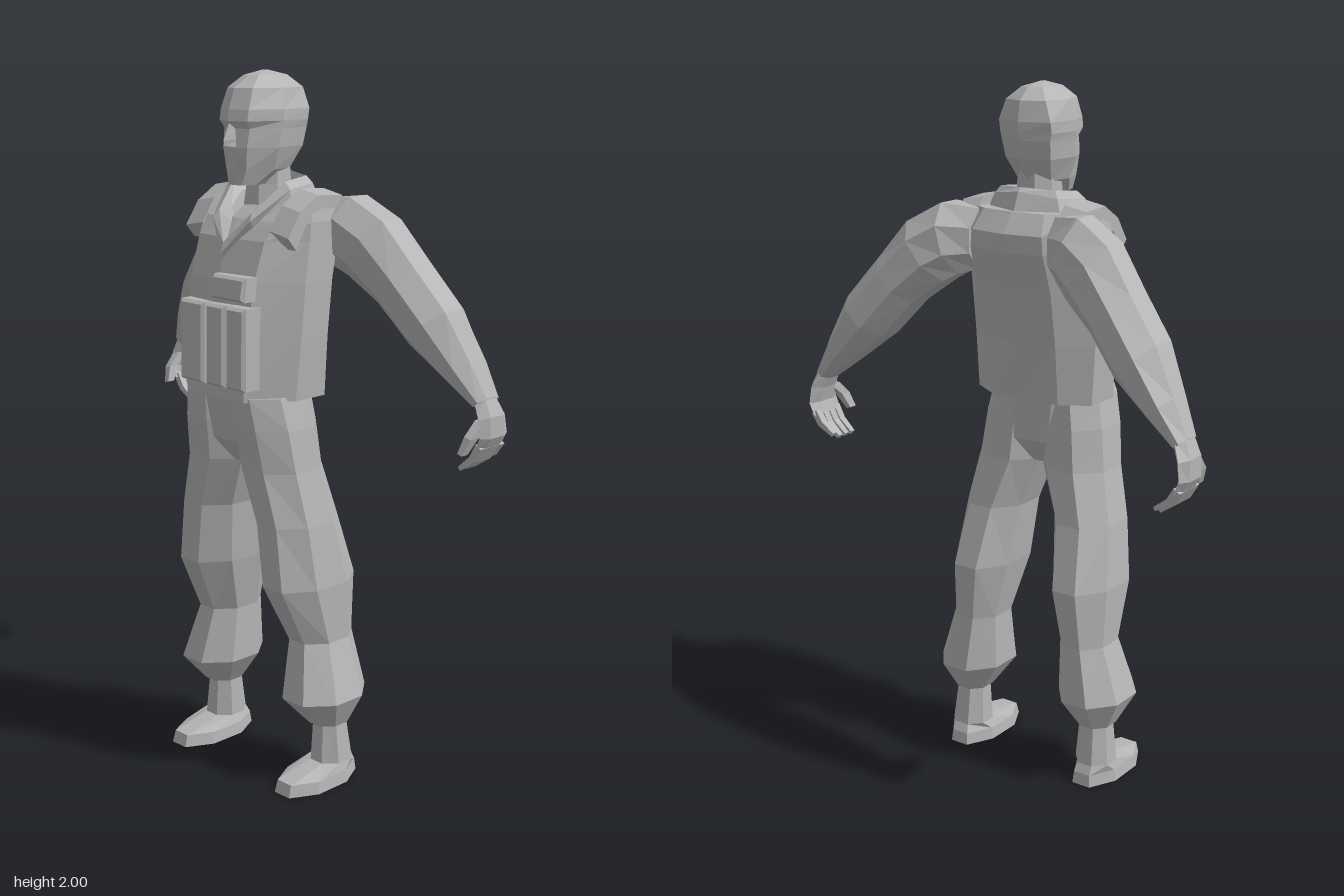
import * as THREE from 'three';

const grey = new THREE.MeshStandardMaterial({ color: 0xb4b4b4 });
grey.name = 'grey';
const V = (x, y, z) => new THREE.Vector3(x, y, z);

// Skin a closed, flat-shaded solid over equal-sized rings; faces always end up pointing outwards
function loft(name, rings) {
  const n = rings[0].length, tris = [];
  for (let r = 0; r < rings.length - 1; r++) {
    for (let i = 0; i < n; i++) {
      const j = (i + 1) % n, a = rings[r], b = rings[r + 1];
      tris.push([a[i], a[j], b[j]], [a[i], b[j], b[i]]);
    }
  }
  const cap = (ring, flip) => {
    const c = V(0, 0, 0);
    ring.forEach(p => c.addScaledVector(p, 1 / n));
    ring.forEach((p, i) => {
      const q = ring[(i + 1) % n];
      tris.push(flip ? [c, q, p] : [c, p, q]);
    });
  };
  cap(rings[0], true);
  cap(rings[rings.length - 1], false);
  let volume = 0;
  const o = rings[0][0], u = V(0, 0, 0), v = V(0, 0, 0), w = V(0, 0, 0);
  for (const [a, b, c] of tris) {
    volume += u.subVectors(a, o).dot(v.subVectors(b, o).cross(w.subVectors(c, o)));
  }
  const points = tris.flatMap(([a, b, c]) => (volume < 0 ? [a, c, b] : [a, b, c]));
  const geometry = new THREE.BufferGeometry().setFromPoints(points);
  geometry.computeVertexNormals();
  const mesh = new THREE.Mesh(geometry, grey);
  mesh.name = name;
  return mesh;
}

// Horizontal ring from a half outline [x, z, yOffset], front centre to back centre
function mirrored(y, half) {
  const right = half.map(([x, z, dy = 0]) => V(x, y + dy, z));
  const left = half.slice(1, -1).reverse().map(([x, z, dy = 0]) => V(-x, y + dy, z));
  return [...right, ...left];
}

// Horizontal octagon filling the box x0..x1, z0..z1
function octagon(y, x0, x1, z0, z1, side = 1) {
  const k = 0.5 / Math.cos(Math.PI / 8);
  return Array.from({ length: 8 }, (_, i) => {
    const t = (i + 0.5) * Math.PI / 4;
    return V(side * ((x0 + x1) / 2 + (x1 - x0) * k * Math.cos(t)), y, (z0 + z1) / 2 + (z1 - z0) * k * Math.sin(t));
  });
}

// Tapered limb along [x, y, z, radius across, radius in z]
function limb(name, path, sides, side) {
  const rings = path.map(([x, y, z, rn, rz], i) => {
    const a = path[Math.max(i - 1, 0)], b = path[Math.min(i + 1, path.length - 1)];
    const dx = b[0] - a[0], dy = b[1] - a[1], len = Math.hypot(dx, dy);
    return Array.from({ length: sides }, (_, s) => {
      const t = (s + 0.5) * 2 * Math.PI / sides, k = 1 / Math.cos(Math.PI / sides);
      const c = Math.cos(t) * rn * k;
      return V(side * (x - dy / len * c), y + dx / len * c, z + Math.sin(t) * rz * k);
    });
  });
  return loft(name, rings);
}

function createHead() {
  const head = new THREE.Group();
  head.name = 'head';
  head.add(loft('skull', [
    mirrored(1.7, [[0, .155], [.025, .15], [.04, .11], [.035, .07], [0, .05]]),
    mirrored(1.74, [[0, .163], [.04, .145], [.068, .07], [.055, 0], [0, -.03]]),
    mirrored(1.8, [[0, .165], [.047, .15], [.088, .07], [.075, -.03], [0, -.06]]),
    mirrored(1.85, [[0, .16], [.05, .142], [.092, .065], [.08, -.04], [0, -.07]]),
    mirrored(1.87, [[0, .175], [.055, .155], [.095, .06], [.085, -.04], [0, -.073]]),
    mirrored(1.9, [[0, .17], [.055, .15], [.094, .06], [.085, -.045], [0, -.075]]),
    mirrored(1.955, [[0, .152], [.05, .13], [.08, .05], [.065, -.04], [0, -.066]]),
    mirrored(1.987, [[0, .1], [.03, .09], [.045, .045], [.035, -.01], [0, -.03]]),
    mirrored(2, [[0, .05], [.004, .045], [.006, .04], [.004, .035], [0, .03]]),
  ]));
  head.add(loft('nose', [
    [V(-.02, 1.8, .15), V(0, 1.805, .188), V(.02, 1.8, .15)],
    [V(-.017, 1.82, .15), V(0, 1.82, .19), V(.017, 1.82, .15)],
    [V(-.01, 1.865, .15), V(0, 1.865, .17), V(.01, 1.865, .15)],
  ]));
  head.add(loft('neck', [
    octagon(1.58, -.08, .08, -.06, .1), octagon(1.7, -.06, .06, -.035, .085), octagon(1.78, -.055, .055, -.03, .08),
  ]));
  return head;
}

function createTorso() {
  const torso = new THREE.Group();
  torso.name = 'torso';
  // Vest body, narrowing over the chest and shoulders
  torso.add(loft('vest', [
    mirrored(1.13, [[0, .235], [.115, .23], [.195, .11], [.195, 0], [.115, -.05], [0, -.06]]),
    mirrored(1.3, [[0, .23], [.12, .22], [.205, .1], [.205, 0], [.12, -.07], [0, -.085]]),
    mirrored(1.45, [[0, .215], [.125, .2], [.21, .09], [.21, -.01], [.125, -.1], [0, -.115]]),
    mirrored(1.56, [[0, .18], [.13, .165], [.21, .075], [.21, -.03], [.12, -.13], [0, -.145]]),
    mirrored(1.61, [[0, .14], [.145, .13], [.21, .07], [.21, -.04], [.115, -.13], [0, -.145]]),
    mirrored(1.665, [[0, .06], [.14, .07], [.2, .05], [.2, -.04], [.1, -.095], [0, -.105]]),
  ]));
  // Folded neck scarf: standing at the back and dropping to a point on the chest
  const scarf = [
    mirrored(0, [[0, .19, 1.5], [.07, .15, 1.59], [.135, .07, 1.655], [.12, -.05, 1.655], [0, -.1, 1.655]]),
    mirrored(0, [[0, .205, 1.52], [.075, .165, 1.61], [.125, .065, 1.69], [.105, -.04, 1.7], [0, -.075, 1.715]]),
    mirrored(0, [[0, .195, 1.55], [.065, .15, 1.63], [.1, .06, 1.71], [.09, -.03, 1.72], [0, -.06, 1.725]]),
    mirrored(0, [[0, .14, 1.59], [.05, .12, 1.635], [.075, .055, 1.675], [.07, -.02, 1.68], [0, -.04, 1.68]]),
  ];
  torso.add(loft('scarf', scarf));
  // Shoulder straps
  for (const side of [1, -1]) {
    const strap = [[1.58, .15], [1.645, .105], [1.685, .04], [1.68, -.05], [1.6, -.13]];
    torso.add(loft('shoulderStrap', strap.map(([y, z]) => [
      V(side * .135, y + .008, z), V(side * .205, y - .005, z),
      V(side * .205, y - .04, z * .8), V(side * .135, y - .04, z * .8),
    ])));
  }
  // Pouches with bevelled fronts: x0, x1, y0, y1, depth at the bottom and the top
  const pouches = [[-.12, -.025, 1.165, 1.39, .253, .25], [-.015, .06, 1.165, 1.39, .253, .25],
    [.065, .14, 1.165, 1.39, .253, .25], [0, .13, 1.405, 1.47, .247, .238]];
  for (const [x0, x1, y0, y1, zb, zt] of pouches) {
    const face = (inset, drop) => [
      V(x0 + inset, y0 + inset, zb - drop), V(x1 - inset, y0 + inset, zb - drop),
      V(x1 - inset, y1 - inset, zt - drop), V(x0 + inset, y1 - inset, zt - drop),
    ];
    torso.add(loft('pouch', [face(0, .07), face(0, .01), face(.008, 0)]));
  }
  return torso;
}

function createArm(side) {
  const arm = new THREE.Group();
  arm.name = side > 0 ? 'leftArm' : 'rightArm';
  arm.add(limb('sleeve', [
    [.13, 1.575, -.06, .085, .065], [.2, 1.575, -.09, .1, .085], [.27, 1.535, -.11, .1, .09],
    [.36, 1.445, -.135, .083, .09], [.455, 1.335, -.16, .08, .09],
    [.54, 1.23, -.18, .05, .07], [.605, 1.148, -.193, .023, .045],
  ], 8, side));
  arm.add(limb('palm', [
    [.6, 1.16, -.193, .02, .038], [.622, 1.11, -.198, .02, .048],
    [.628, 1.06, -.2, .015, .05], [.612, 1.025, -.2, .011, .048],
  ], 6, side));
  for (let i = 0; i < 4; i++) {
    const z = -.162 - i * .026, tip = i === 3 ? .012 : 0;
    arm.add(limb('finger', [
      [.618, 1.035, z, .011, .011], [.595, .995 + tip / 2, z, .01, .0105], [.552, .962 + tip, z, .006, .008],
    ], 4, side));
  }
  arm.add(limb('thumb', [
    [.618, 1.105, -.17, .014, .018], [.613, 1.065, -.128, .012, .016], [.6, 1.02, -.108, .008, .012],
  ], 4, side));
  return arm;
}

function createLeg(side) {
  const leg = new THREE.Group();
  leg.name = side > 0 ? 'leftLeg' : 'rightLeg';
  const rings = rows => rows.map(r => octagon(...r, side));
  // Trouser leg gathered above the boot
  leg.add(loft('trouserLeg', rings([
    [.175, .175, .275, -.055, .06], [.265, .115, .318, -.11, .14], [.43, .118, .265, -.09, .1],
    [.6, .083, .268, -.105, .18], [.78, .062, .248, -.055, .182], [.93, .005, .215, -.03, .192],
    [1.05, 0, .2, -.02, .21], [1.14, 0, .18, -.01, .22],
  ])));
  leg.add(loft('boot', rings([
    [0, .155, .295, -.082, .19], [.035, .16, .29, -.077, .18],
    [.06, .172, .283, -.065, .055], [.2, .18, .268, -.045, .045],
  ])));
  return leg;
}

export function createModel() {
  const model = new THREE.Group();
  model.name = 'figure';
  model.add(createHead(), createTorso());
  model.add(loft('pelvis', [
    octagon(.93, -.04, .04, .02, .14), octagon(1.0, -.14, .14, -.02, .19), octagon(1.14, -.18, .18, -.02, .22),
  ]));
  for (const side of [1, -1]) model.add(createArm(side), createLeg(side));
  return model;
}
